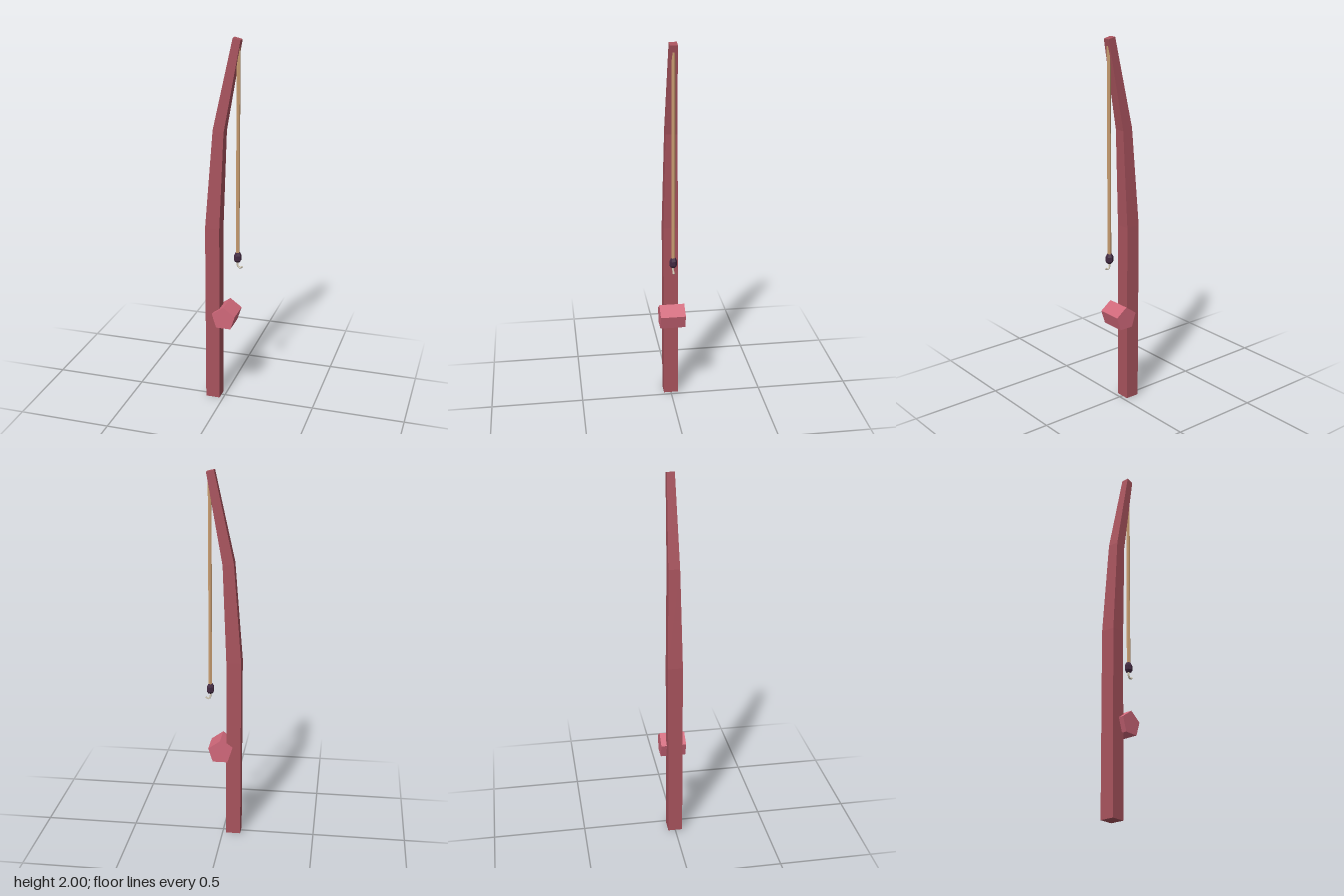
import * as THREE from 'three';

const mat = (name, color, flatShading = true) => {
  const m = new THREE.MeshStandardMaterial({ color, flatShading });
  m.name = name;
  return m;
};

export function createModel() {
  const group = new THREE.Group();
  group.name = 'fishingRod';
  const wood = mat('dark red', 0xa8535d);
  const pink = mat('pink', 0xd0687a);
  const cord = mat('tan', 0xcb9f72);
  const plum = mat('dark plum', 0x432a42);
  const bone = mat('pale metal', 0xcfc6b2);

  const add = (name, geometry, material, x = 0, y = 0, z = 0) => {
    const mesh = new THREE.Mesh(geometry, material);
    mesh.name = name;
    mesh.position.set(x, y, z);
    group.add(mesh);
    return mesh;
  };

  // Square pole, bent and tapered: [left x, left y, right x, right y, half depth]
  const rings = [
    [-0.098, 0, -0.02, 0, 0.039],
    [-0.098, 1.0, -0.02, 1.0, 0.039],
    [-0.057, 1.53, 0.001, 1.52, 0.03],
    [0.045, 2.0, 0.085, 1.99, 0.02],
  ];
  const pole = new THREE.BoxGeometry(2, 3, 2, 1, 3, 1);
  const p = pole.attributes.position;
  for (let i = 0; i < p.count; i++) {
    const [lx, ly, rx, ry, d] = rings[Math.round(p.getY(i) + 1.5)];
    const left = p.getX(i) < 0;
    p.setXYZ(i, left ? lx : rx, left ? ly : ry, p.getZ(i) * d);
  }
  const flatPole = pole.toNonIndexed();
  flatPole.computeVertexNormals();
  add('pole', flatPole, wood);

  // Five-sided reel lying across the pole, one corner up
  const reel = add('reel', new THREE.CylinderGeometry(0.0675, 0.0675, 0.136, 5), pink, 0.01, 0.498, -0.001);
  reel.rotation.x = -Math.PI / 2;

  // Hanging line
  add('line', new THREE.CylinderGeometry(0.01, 0.01, 1.115, 6), cord, 0.07, 1.4175, 0);

  // Faceted sinker
  const profile = [[0, 0.813], [0.013, 0.813], [0.021, 0.825], [0.021, 0.85], [0.013, 0.866], [0, 0.866]]
    .map(([x, y]) => new THREE.Vector2(x, y));
  add('sinker', new THREE.LatheGeometry(profile, 6), plum, 0.07, 0, 0);

  // Curled hook
  const path = new THREE.CatmullRomCurve3(
    [[0.071, 0.82], [0.069, 0.803], [0.073, 0.789], [0.082, 0.781], [0.095, 0.788]]
      .map(([x, y]) => new THREE.Vector3(x, y, 0)));
  add('hook', new THREE.TubeGeometry(path, 8, 0.0055, 5), bone);
  add('hookTip', new THREE.IcosahedronGeometry(0.0055, 0), bone, 0.094, 0.788, 0);

  return group;
}
